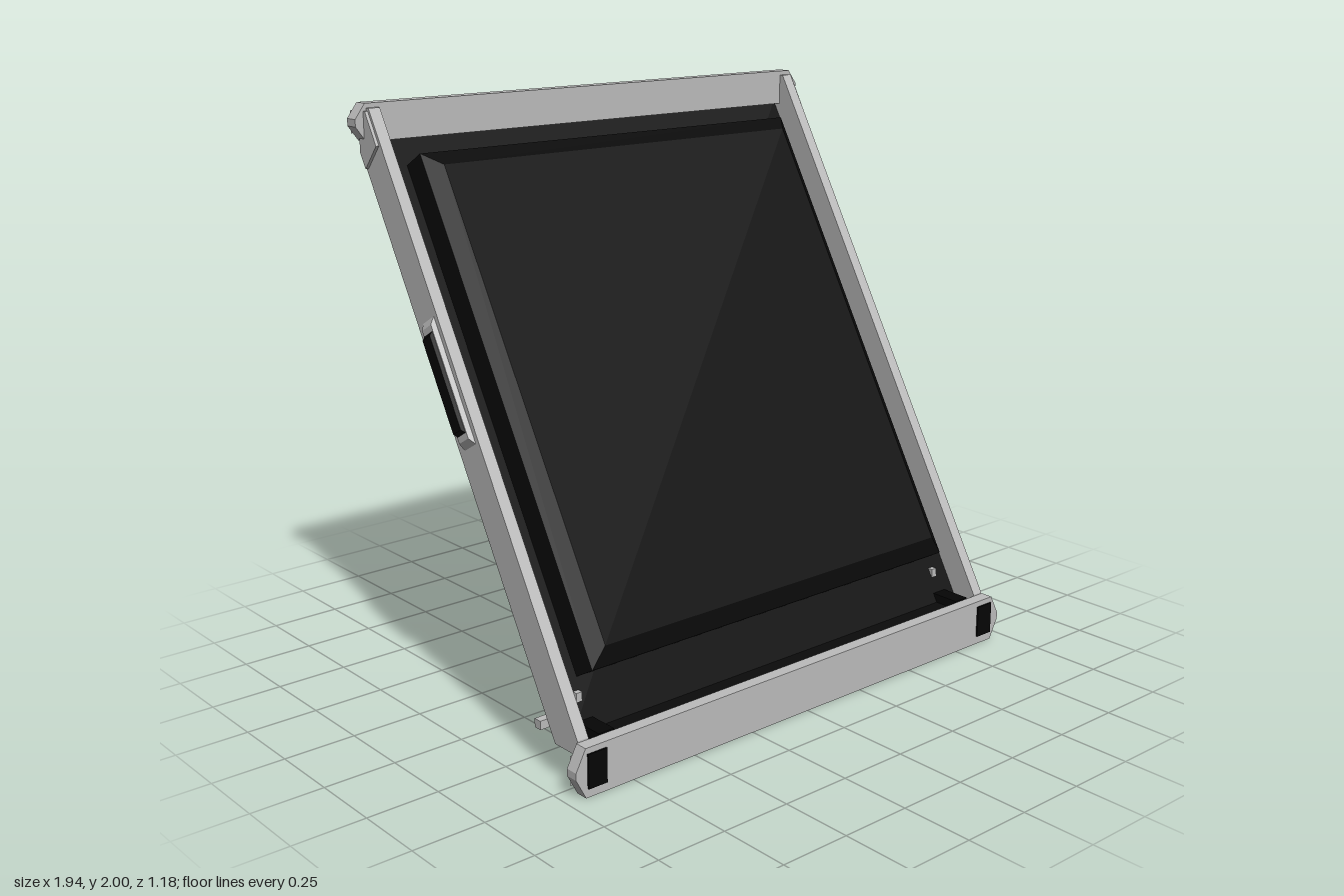
import * as THREE from 'three';

const mat = (name, color, side = THREE.FrontSide) => {
  const m = new THREE.MeshStandardMaterial({ color, side });
  m.name = name;
  return m;
};

export function createModel() {
  const light = mat('light grey', 0xbcbcbc);
  const black = mat('panel black', 0x0b0b0b);
  const trim = mat('trim black', 0x050505);
  const root = new THREE.Group();
  root.name = 'tiltedPanel';

  const add = (parent, name, geo, material, x = 0, y = 0, z = 0) => {
    const mesh = new THREE.Mesh(geo, material);
    mesh.name = name;
    mesh.position.set(x, y, z);
    parent.add(mesh);
    return mesh;
  };
  // box given by its limits
  const block = (parent, name, material, [x0, x1], [y0, y1], [z0, z1]) =>
    add(parent, name, new THREE.BoxGeometry(x1 - x0, y1 - y0, z1 - z0), material,
      (x0 + x1) / 2, (y0 + y1) / 2, (z0 + z1) / 2);
  // box standing on z = 0 whose far face is inset on all sides
  const frustum = (w, h, d, insetX, insetY) => {
    const geo = new THREE.BoxGeometry(w, h, d).translate(0, 0, d / 2);
    const p = geo.attributes.position;
    for (let i = 0; i < p.count; i++) {
      if (p.getZ(i) < d / 2) continue;
      p.setX(i, p.getX(i) - Math.sign(p.getX(i)) * insetX);
      p.setY(i, p.getY(i) - Math.sign(p.getY(i)) * insetY);
    }
    geo.computeVertexNormals();
    return geo;
  };
  // outline in (z, y) extruded along x, centred on x = 0
  const sideProfile = (points, width) => {
    const shape = new THREE.Shape(points.map(([z, y]) => new THREE.Vector2(-z, y)));
    return new THREE.ExtrudeGeometry(shape, { depth: width, bevelEnabled: false })
      .translate(0, 0, -width / 2).rotateY(Math.PI / 2);
  };

  // leaning body: local y runs up the slope, local z is its front
  const body = new THREE.Group();
  body.name = 'body';
  body.position.y = 1;
  body.rotation.x = -Math.PI / 6;
  root.add(body);
  block(body, 'backingPanel', black, [-0.89, 0.89], [-0.98, 1.05], [-0.072, -0.045]);
  block(body, 'frontRaisedBase', black, [-0.8, 0.8], [-0.8, 0.94], [-0.045, 0.048]);
  add(body, 'frontRaisedPanel', frustum(1.6, 1.74, 0.038, 0.05, 0.06), black, 0, 0.07, 0.048);
  const back = add(body, 'backRaisedPanel', frustum(1.64, 1.7, 0.038, 0.04, 0.06), black, 0, 0.08, -0.071);
  back.rotation.y = Math.PI;
  block(body, 'backRidge', black, [-0.76, 0.76], [-0.265, -0.235], [-0.122, -0.105]);

  for (const s of [-1, 1]) {
    // side handles
    const handle = new THREE.Group();
    handle.name = s > 0 ? 'leftHandle' : 'rightHandle';
    handle.position.set(s * 0.927, 0.19, -0.007);
    handle.rotation.y = s * Math.PI / 2;
    body.add(handle);
    add(handle, 'handleBase', frustum(0.076, 0.44, 0.02, 0.008, 0.03), light);
    add(handle, 'handleGrip', frustum(0.058, 0.375, 0.033, 0.004, 0.03), trim);

    // side rails
    add(root, s > 0 ? 'leftRail' : 'rightRail', sideProfile([
      [0.535, 0.12], [0.535, 0.17], [-0.515, 1.985], [-0.565, 1.985], [-0.565, 1.83], [0.42, 0.12],
    ], 0.042), light, s * 0.91, 0, 0);
    // thicker rail end under the top bumper
    add(root, 'railEnd', sideProfile([
      [-0.46, 1.87], [-0.52, 1.975], [-0.56, 1.975], [-0.56, 1.84], [-0.53, 1.79],
    ], 0.05), light, s * 0.917, 0, 0);

    // rear hooks with foot and gusset
    add(root, 'hook', sideProfile([
      [0.28, 0.12], [0.32, 0.12], [0.32, 0.22], [0.4, 0.22], [0.4, 0.25], [0.28, 0.25],
    ], 0.022), light, s * 0.82, 0, 0);
    const gusset = add(root, 'hookGusset', new THREE.BoxGeometry(0.018, 0.13, 0.02), light,
      s * 0.78, 0.19, 0.305);
    gusset.rotation.z = s * -0.6;
    // feet behind the bottom bumper
    block(root, 'foot', trim, [s * 0.82 - 0.03, s * 0.82 + 0.03], [0.085, 0.17], [0.39, 0.535]);
    // corner pads on the bottom bumper
    block(root, 'cornerPad', trim, [s * 0.893 - 0.036, s * 0.893 + 0.036], [0.03, 0.145], [0.578, 0.586]);
  }
  block(root, 'crossBar', light, [-0.91, 0.91], [0.12, 0.15], [0.285, 0.315]);
  block(root, 'bottomSill', black, [-0.885, 0.885], [0.1, 0.14], [0.42, 0.535]);

  // bumpers with pointed ends and a clip on the rear face
  const bumper = (name, y0, y1, z0, z1) => {
    const g = new THREE.Group();
    g.name = name;
    root.add(g);
    const mid = (y0 + y1) / 2;
    const outline = new THREE.Shape([
      [-0.935, y0], [0.935, y0], [0.972, mid - 0.012], [0.972, mid + 0.012], [0.935, y1],
      [-0.935, y1], [-0.972, mid + 0.012], [-0.972, mid - 0.012],
    ].map(([x, y]) => new THREE.Vector2(x, y)));
    add(g, 'bumperBeam', new THREE.ExtrudeGeometry(outline, { depth: z1 - z0, bevelEnabled: false }),
      light, 0, 0, z0);
    for (const s of [-1, 1]) {
      const cap = add(g, 'bumperCap', frustum(0.09, (y1 - y0) * 0.6, 0.008, 0.02, 0.01), light, s * 0.915, mid, z0);
      cap.rotation.y = Math.PI;
    }
    const clip = add(g, 'clip', frustum(0.3, 0.06, 0.012, 0.025, 0.006), trim, 0, mid, z0);
    clip.rotation.y = Math.PI;
    block(g, 'clipPlate', light, [-0.08, 0.08], [mid - 0.022, mid + 0.022], [z0 - 0.015, z0 - 0.008]);
  };
  bumper('topBumper', 1.877, 2, -0.58, -0.53);
  bumper('bottomBumper', 0, 0.165, 0.535, 0.58);

  return root;
}
